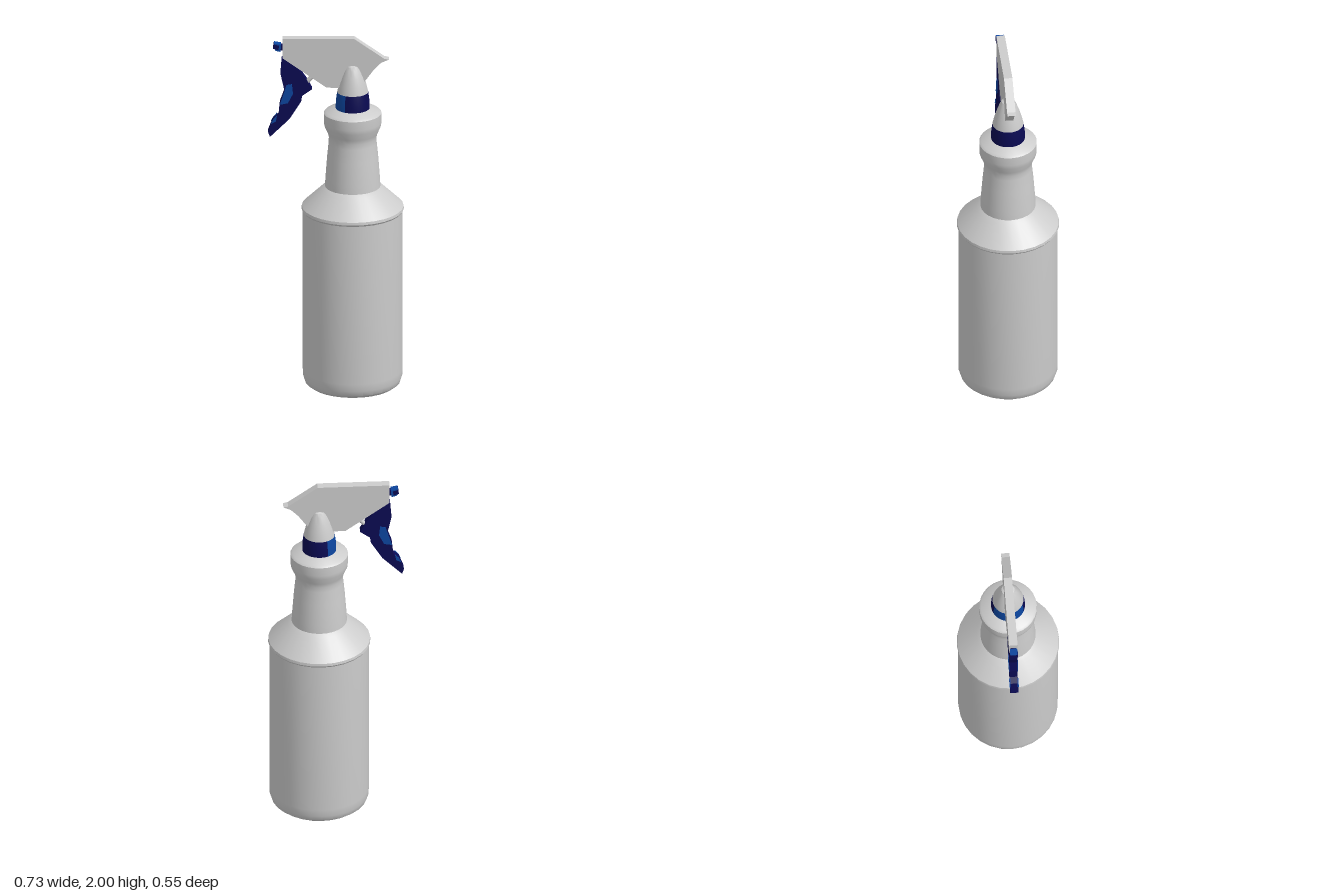
import * as THREE from 'three';
import { toCreasedNormals } from 'three/addons/utils/BufferGeometryUtils.js';

const AXIS_X = 0.09;

export function createModel() {
  const group = new THREE.Group();
  const grey = new THREE.MeshStandardMaterial({ color: 0xcccccc });
  grey.name = 'lightGrey';
  const navy = new THREE.MeshStandardMaterial({ color: 0x0a0a52 });
  navy.name = 'navy';
  const blue = new THREE.MeshStandardMaterial({ color: 0x0c46a0 });
  blue.name = 'blue';

  const add = (name, geometry, material, x = 0, y = 0, z = 0) => {
    const mesh = new THREE.Mesh(geometry, material);
    mesh.name = name;
    mesh.position.set(x, y, z);
    group.add(mesh);
    return mesh;
  };
  const points = (list) => list.map(([x, y]) => new THREE.Vector2(x, y));
  // Turned part around the bottle axis
  const turn = (name, profile, material, start = 0, sweep = Math.PI * 2, segments = 28) =>
    add(name, toCreasedNormals(
      new THREE.LatheGeometry(points(profile), segments, start, sweep), 0.6), material, AXIS_X);
  // Flat outline in the x-y plane, centred in depth at z
  const plate = (name, outline, depth, material, z = 0) => {
    const geometry = new THREE.ExtrudeGeometry(new THREE.Shape(points(outline)),
      { depth, bevelEnabled: false });
    geometry.translate(0, 0, z - depth / 2);
    return add(name, geometry, material);
  };

  // Bottle: rounded base, straight body, shoulder, neck and collar
  turn('bottle', [
    [0, 0.01], [0.21, 0.005], [0.235, 0.012], [0.258, 0.03], [0.268, 0.06], [0.27, 0.1],
    [0.27, 1.01], [0.277, 1.02], [0.275, 1.035], [0.17, 1.135], [0.15, 1.15],
    [0.147, 1.2], [0.138, 1.32], [0.13, 1.4], [0.129, 1.43], [0.135, 1.455],
    [0.153, 1.495], [0.156, 1.52], [0.156, 1.57], [0.145, 1.58], [0.085, 1.6],
  ], grey);

  // Screw ring: navy, with a lighter sector under the trigger
  const ring = [[0.092, 1.595], [0.091, 1.64], [0.084, 1.69]];
  const half = 1.1;
  const side = Math.PI * 1.5;
  turn('ring', ring, navy, side + half, Math.PI * 2 - half * 2, 20);
  turn('ringLightSector', ring, blue, side - half, half * 2, 10);

  // Domed cone above the ring
  turn('cone', [
    [0.084, 1.69], [0.074, 1.735], [0.06, 1.78], [0.045, 1.82],
    [0.035, 1.84], [0.018, 1.848], [0, 1.85],
  ], grey);

  // Flat pump head
  plate('head', [
    [-0.29, 1.89], [-0.05, 1.72], [0.125, 1.72], [0.165, 1.77], [0.205, 1.825],
    [0.245, 1.865], [0.285, 1.882], [0.26, 1.888], [0.1, 2], [-0.29, 2],
  ], 0.046, grey);

  // Nozzle with its short stem
  add('nozzleStem', new THREE.BoxGeometry(0.016, 0.03, 0.03), navy, -0.295, 1.945);
  plate('nozzle', [
    [-0.337, 1.945], [-0.325, 1.93], [-0.3, 1.924], [-0.296, 1.965], [-0.335, 1.972],
  ], 0.04, blue);
  plate('nozzleCap', [
    [-0.34, 1.943], [-0.31, 1.935], [-0.308, 1.96], [-0.336, 1.968],
  ], 0.044, navy);

  // Trigger lever
  plate('trigger', [
    [-0.293, 1.885], [-0.3, 1.8], [-0.278, 1.7], [-0.303, 1.63], [-0.31, 1.56],
    [-0.34, 1.535], [-0.367, 1.465], [-0.357, 1.435], [-0.25, 1.54], [-0.188, 1.64],
    [-0.183, 1.672], [-0.13, 1.71], [-0.16, 1.765], [-0.21, 1.835], [-0.262, 1.88],
  ], 0.044, navy);
  // Lighter patches on both sides of the lever
  for (const z of [-0.022, 0.022]) {
    plate('triggerPatch', [
      [-0.303, 1.622], [-0.26, 1.63], [-0.232, 1.685], [-0.238, 1.74], [-0.268, 1.735],
      [-0.278, 1.7],
    ], 0.006, blue, z);
    plate('triggerTipPatch', [
      [-0.352, 1.51], [-0.325, 1.525], [-0.318, 1.56], [-0.34, 1.535],
    ], 0.006, blue, z);
  }

  // Push rod between lever and head
  const rod = add('pushRod', new THREE.CylinderGeometry(0.012, 0.012, 0.11, 10), grey, -0.14, 1.765);
  rod.rotation.z = -0.75;

  return group;
}
